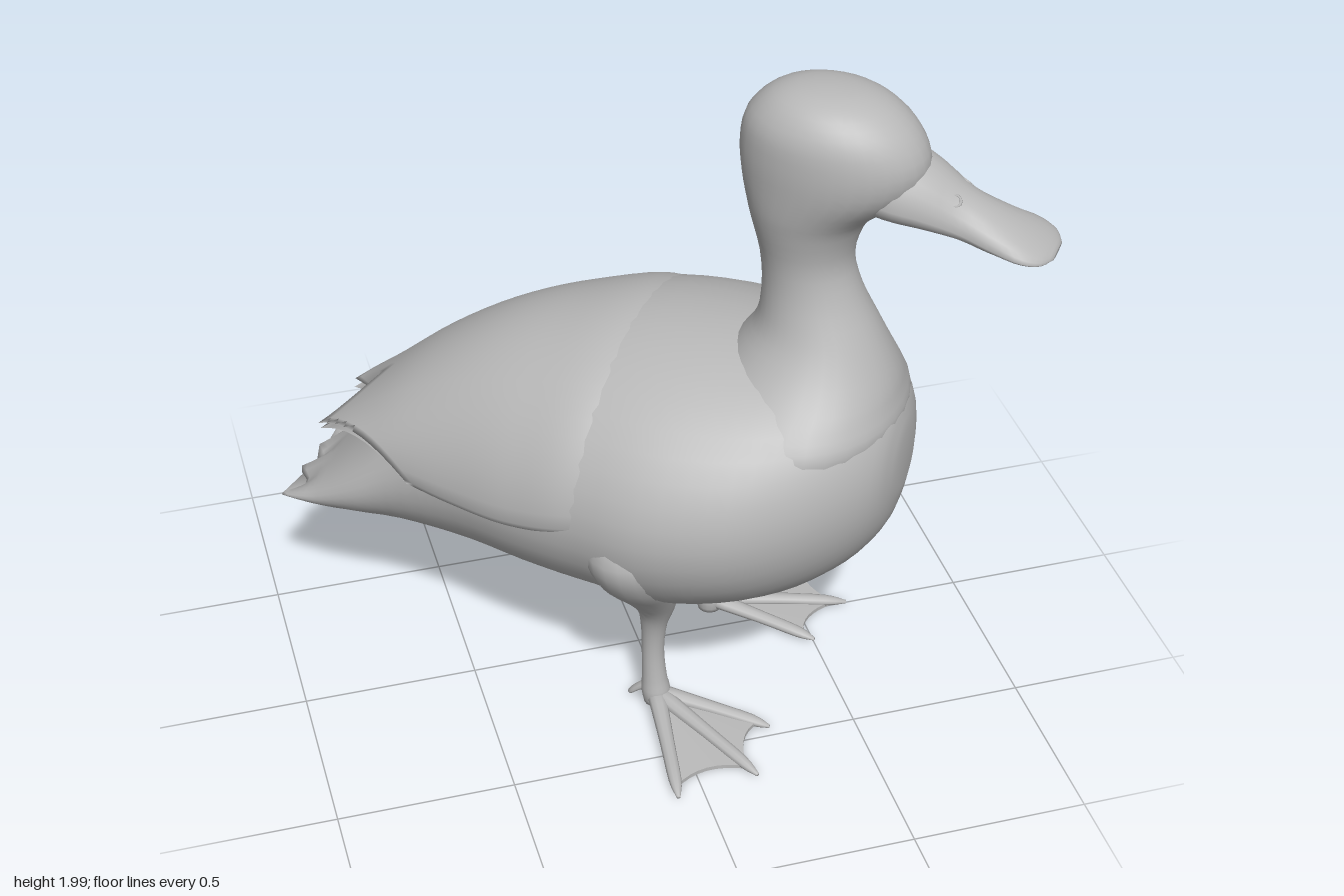
import * as THREE from 'three';

const grey = new THREE.MeshStandardMaterial({ color: 0xb8b8b8 });
grey.name = 'plain grey';

// Smooth lookup through rows of numbers: times ascending, one row per time
function smooth(times, rows) {
  const size = rows[0].length;
  const curve = new THREE.CubicInterpolant(times, rows.flat(), size, new Float32Array(size));
  return t => Array.from(curve.evaluate(t));
}

// Resample a list of sections evenly by index
function resample(rows, count) {
  const at = smooth(rows.map((_, i) => i), rows);
  return Array.from({ length: count }, (_, i) => at(i / (count - 1) * (rows.length - 1)));
}

// Closed skin over rings of [x, y, z] points, with both ends capped
function loft(rings) {
  const n = rings[0].length, pos = rings.flat(2), index = [];
  for (let i = 0; i < rings.length - 1; i++) {
    for (let j = 0; j < n; j++) {
      const a = i * n + j, b = i * n + (j + 1) % n;
      index.push(a, b, b + n, a, b + n, a + n);
    }
  }
  for (const r of [0, rings.length - 1]) {
    const c = pos.length / 3;
    for (let k = 0; k < 3; k++) pos.push(rings[r].reduce((sum, p) => sum + p[k], 0) / n);
    for (let j = 0; j < n; j++) {
      const a = r * n + j, b = r * n + (j + 1) % n;
      if (r === 0) index.push(c, b, a); else index.push(c, a, b);
    }
  }
  // Turn the skin outward when its volume comes out negative
  const P = i => new THREE.Vector3().fromArray(pos, i * 3);
  let volume = 0;
  for (let i = 0; i < index.length; i += 3) volume += P(index[i]).dot(P(index[i + 1]).cross(P(index[i + 2])));
  if (volume < 0) index.reverse();
  const g = new THREE.BufferGeometry();
  g.setAttribute('position', new THREE.Float32BufferAttribute(pos, 3));
  g.setIndex(index);
  g.computeVertexNormals();
  return g;
}

const ring = (n, point) => Array.from({ length: n }, (_, j) => point(j / n * Math.PI * 2));
const sway = x => Math.max(0, -x) * 0.09; // the tail swings slightly to one side

// Local frame: +x is forward, z is across
export function createModel() {
  const model = new THREE.Group();
  model.name = 'duck';
  const duck = new THREE.Group();
  duck.name = 'duckTurnedToFront';
  duck.rotation.y = -37 * Math.PI / 180;
  model.add(duck);
  const add = (name, geometry, parent = duck) => {
    const mesh = new THREE.Mesh(geometry, grey);
    mesh.name = name;
    parent.add(mesh);
    return mesh;
  };

  // Body and tail: [x, top, bottom, half width]
  const body = [
    [-0.985, 0.49, 0.458, 0.185], [-0.93, 0.545, 0.45, 0.215], [-0.85, 0.625, 0.44, 0.245], [-0.74, 0.745, 0.435, 0.278],
    [-0.6, 0.91, 0.425, 0.31], [-0.4, 1.075, 0.415, 0.378], [-0.2, 1.16, 0.4, 0.455], [0, 1.21, 0.39, 0.508],
    [0.2, 1.225, 0.395, 0.535], [0.4, 1.22, 0.44, 0.495], [0.55, 1.21, 0.5, 0.41], [0.67, 1.18, 0.59, 0.3],
    [0.745, 1.1, 0.7, 0.19], [0.775, 1.0, 0.82, 0.08]];
  add('bodyAndTail', loft(resample(body, 45).map(([x, top, bottom, w]) => ring(40, a => {
    const across = Math.sin(a);
    const fan = Math.max(0, (-0.9 - x) / 0.085) * 0.025 * Math.cos(3 * Math.PI * across);
    return [x + fan, (top + bottom) / 2 + (top - bottom) / 2 * Math.cos(a), w * across + sway(x)];
  }))));

  // Folded wings: one shell over the back, ending in two points
  const wingAt = smooth([-0.92, -0.77, -0.6, -0.4, -0.2, 0, 0.2], [ // [top, edge height, half width]
    [0.705, 0.69, 0.2], [0.835, 0.715, 0.255], [0.98, 0.735, 0.32], [1.105, 0.74, 0.395],
    [1.177, 0.76, 0.467], [1.213, 0.805, 0.508], [1.16, 0.84, 0.46]]);
  const tipAt = s => s < 0.4 ? -0.76 - 0.15 * s / 0.4 : -0.91 + 0.36 * (s - 0.4) / 0.6;
  const span = Array.from({ length: 31 }, (_, i) => i / 15 - 1);
  const wingRing = t => {
    const row = (list, drop) => list.map(s => {
      const x = THREE.MathUtils.lerp(0.2, tipAt(Math.abs(s)), t);
      const [top, edge, w] = wingAt(x), a = s * Math.PI / 2;
      return [x, edge + (top - edge) * Math.cos(a) - drop, (w - drop * 0.6) * Math.sin(a) + sway(x)];
    });
    return [...row(span, 0), ...row([...span].reverse(), 0.025)];
  };
  add('foldedWings', loft(Array.from({ length: 25 }, (_, i) => wingRing(i / 24))));

  // Neck and head, flaring into the breast: [height, x, half length, half width]
  const neck = [
    [0.98, 0.47, 0.27, 0.36], [1.05, 0.48, 0.282, 0.35], [1.11, 0.48, 0.27, 0.305], [1.16, 0.495, 0.242, 0.25],
    [1.22, 0.505, 0.208, 0.2], [1.3, 0.51, 0.165, 0.155],
    [1.4, 0.49, 0.135, 0.125], [1.5, 0.472, 0.125, 0.12], [1.6, 0.47, 0.149, 0.14], [1.66, 0.485, 0.178, 0.155],
    [1.74, 0.525, 0.235, 0.17], [1.82, 0.535, 0.25, 0.176], [1.9, 0.525, 0.226, 0.168],
    [1.96, 0.517, 0.168, 0.132], [1.99, 0.51, 0.1, 0.08], [2.0, 0.505, 0.03, 0.025]];
  add('neckAndHead', loft(resample(neck, 46).map(([y, x, l, w]) =>
    ring(32, a => [x + l * Math.cos(a), y, w * Math.sin(a)]))));

  // Bill: [x, top, bottom, half width]
  const bill = [
    [0.58, 1.89, 1.68, 0.1], [0.7, 1.865, 1.66, 0.125], [0.79, 1.82, 1.645, 0.11], [0.88, 1.75, 1.625, 0.088],
    [0.96, 1.705, 1.608, 0.098], [1.04, 1.665, 1.6, 0.112], [1.09, 1.635, 1.597, 0.092], [1.115, 1.615, 1.6, 0.045]];
  add('bill', loft(resample(bill, 24).map(([x, top, bottom, w]) => ring(24, a => {
    const c = Math.cos(a);
    return [x, bottom + (top - bottom) * (c > 0 ? 0.35 + 0.65 * c : 0.35 + 0.35 * c), w * Math.sin(a) - (x - 0.6) * 0.12];
  }))));

  for (const side of [1, -1]) {
    const label = side > 0 ? 'right' : 'left';

    // Nostril rim lying flat on the bill
    const nostril = add(label + 'NostrilRim', new THREE.TorusGeometry(0.015, 0.004, 6, 14));
    nostril.position.set(0.86, 1.744, side * 0.052 - 0.031);
    nostril.quaternion.setFromUnitVectors(new THREE.Vector3(0, 0, 1),
      new THREE.Vector3(0.4, 0.7, side * 0.6).normalize());

    const leg = new THREE.Group();
    leg.name = label + 'Leg';
    leg.position.set(0.147, 0, side * 0.225 + 0.015);
    duck.add(leg);

    // Shank widening into a thigh against the flank: [height, x, outward, radius]
    const shank = [
      [0.03, 0, 0, 0.035], [0.07, 0, 0, 0.042], [0.12, -0.005, 0, 0.036], [0.22, -0.01, 0, 0.032],
      [0.32, -0.005, 0.005, 0.038], [0.4, 0.005, 0.02, 0.056], [0.49, 0, 0.065, 0.085],
      [0.6, -0.01, 0.14, 0.11], [0.72, -0.02, 0.18, 0.115], [0.86, -0.03, 0.16, 0.07]];
    add(label + 'ShankAndThigh', loft(resample(shank, 28).map(([y, x, z, r]) =>
      ring(18, a => [x + r * Math.cos(a), y, side * z + r * Math.sin(a)]))), leg);

    // Toes with claws, and the hind toe
    const toes = [[0.2, 0.345], [0.375, 0.18], [0.34, -0.02]];
    const toe = (name, x, z, from, to, r) => add(name, loft(resample([
      [0, from, r], [0.5, (from + to) / 2 + 0.004, r * 0.75], [0.85, to + 0.01, r * 0.65], [1, to, r * 0.2]], 10)
      .map(([t, y, rad]) => {
        const len = Math.hypot(x, z);
        return ring(10, a => [x * t - z / len * rad * Math.cos(a), y + rad * 0.8 * Math.sin(a),
          side * (z * t + x / len * rad * Math.cos(a))]);
      })), leg);
    toes.forEach(([x, z], i) => toe(label + 'Toe' + (i + 1), x, z, 0.06, 0.018, 0.028));
    toe(label + 'HindToe', -0.085, 0, 0.1, 0.035, 0.024);

    // Webbing scalloped between the toe tips, sloping up to the ankle
    const web = new THREE.Shape();
    web.moveTo(-0.02, 0);
    toes.forEach(([x, z], i) => {
      const tip = [x * 0.9, side * z * 0.9];
      if (i === 0) web.lineTo(...tip);
      else web.quadraticCurveTo((x + toes[i - 1][0]) * 0.37, side * (z + toes[i - 1][1]) * 0.37, ...tip);
    });
    web.closePath();
    const webGeo = new THREE.ExtrudeGeometry(web, { depth: 0.012, bevelEnabled: false, curveSegments: 8 });
    webGeo.rotateX(Math.PI / 2);
    const p = webGeo.attributes.position;
    for (let i = 0; i < p.count; i++) {
      const d = Math.hypot(p.getX(i), p.getZ(i));
      p.setY(i, p.getY(i) + 0.025 + 0.035 * Math.max(0, 1 - d / 0.35));
    }
    webGeo.computeVertexNormals();
    add(label + 'Webbing', webGeo, leg);
  }
  return model;
}
